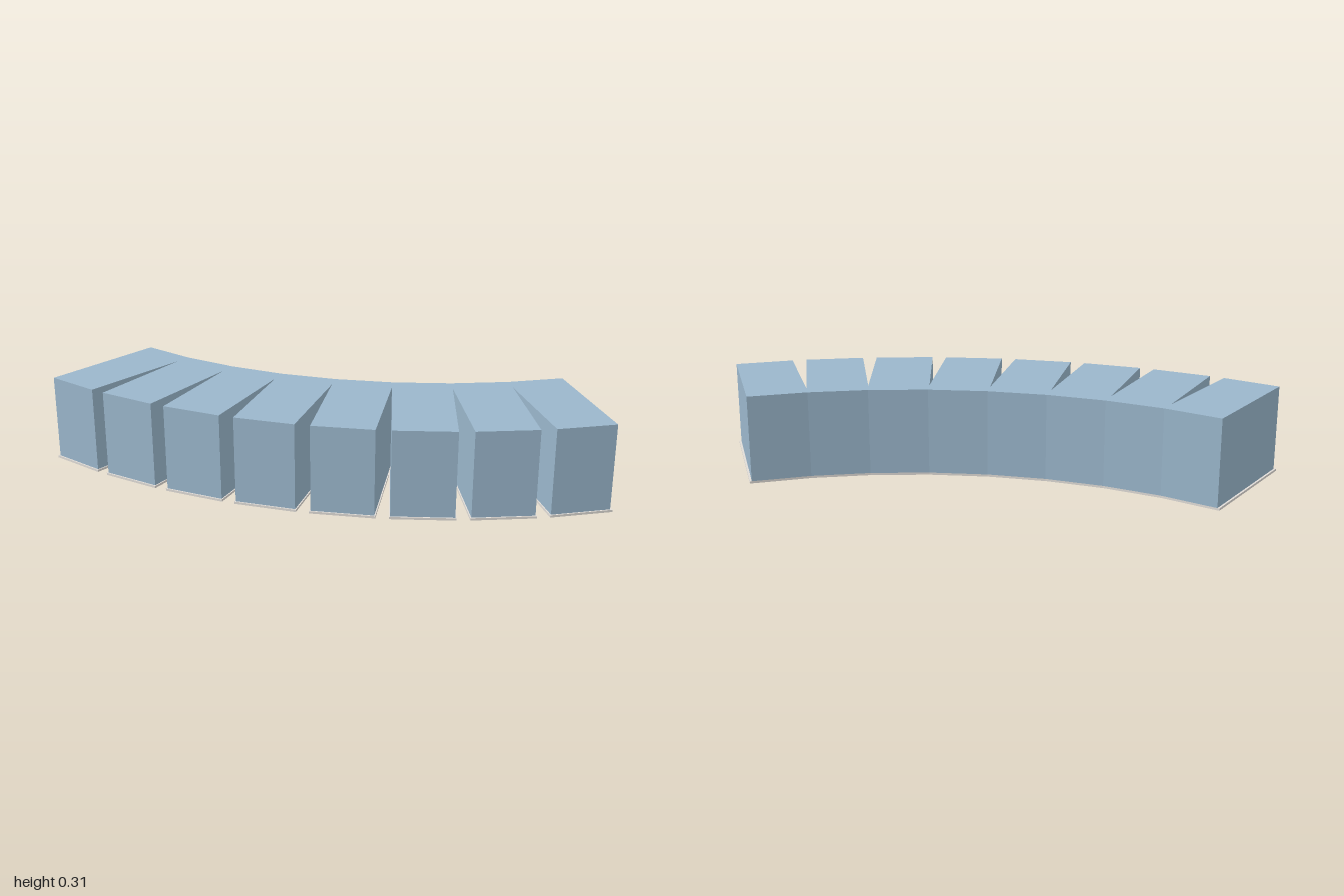
import * as THREE from 'three';

const STEP = THREE.MathUtils.degToRad(7.2); // turn between neighbouring blocks
const BACK = 1.643;                         // arc centre to the back face of a block
const CX = 0.117, CZ = -1.755;              // arc centre
const FIRST = -4, LAST = 3;                 // block numbers, 0 faces straight ahead

// Plan outline of the fan of blocks, joined along the back by a faceted arc.
// halfWidth reaches from a block's middle to a notch, endWidth to the outer end faces.
function fanShape(halfWidth, endWidth, length) {
  const points = [];
  // u runs across a block, r runs outwards from the arc centre
  const add = (i, u, r) => {
    const a = i * STEP, c = Math.cos(a), s = Math.sin(a);
    points.push(new THREE.Vector2(CX + u * c + r * s, -(CZ - u * s + r * c)));
  };
  const tan = Math.tan(STEP / 2);
  // front, left to right, with a wedge notch between blocks
  add(FIRST, -endWidth, BACK);
  for (let i = FIRST; i <= LAST; i++) {
    add(i, i === FIRST ? -endWidth : -halfWidth, BACK + length);
    add(i, i === LAST ? endWidth : halfWidth, BACK + length);
    if (i < LAST) add(i, halfWidth, halfWidth / tan);
  }
  // back, right to left
  add(LAST, endWidth, BACK);
  for (let i = LAST; i > FIRST; i--) add(i, -BACK * tan, BACK);
  return new THREE.Shape(points);
}

function slab(name, shape, bottom, top, material) {
  const geometry = new THREE.ExtrudeGeometry(shape, { depth: top - bottom, bevelEnabled: false });
  geometry.rotateX(-Math.PI / 2);
  geometry.translate(0, bottom, 0);
  const mesh = new THREE.Mesh(geometry, material);
  mesh.name = name;
  return mesh;
}

export function createModel() {
  const blue = new THREE.MeshStandardMaterial({ color: 0x9ab6cb });
  blue.name = 'paleBlue';
  const grey = new THREE.MeshStandardMaterial({ color: 0xe0dcd7 });
  grey.name = 'paleWarmGrey';

  const model = new THREE.Group();
  model.name = 'curvedBlockRow';
  // thin foundation, slightly wider than the blocks
  model.add(slab('basePlate', fanShape(0.111, 0.109, 0.481), 0, 0.008, grey));
  model.add(slab('blocks', fanShape(0.107, 0.102, 0.476), 0.008, 0.311, blue));
  return model;
}
